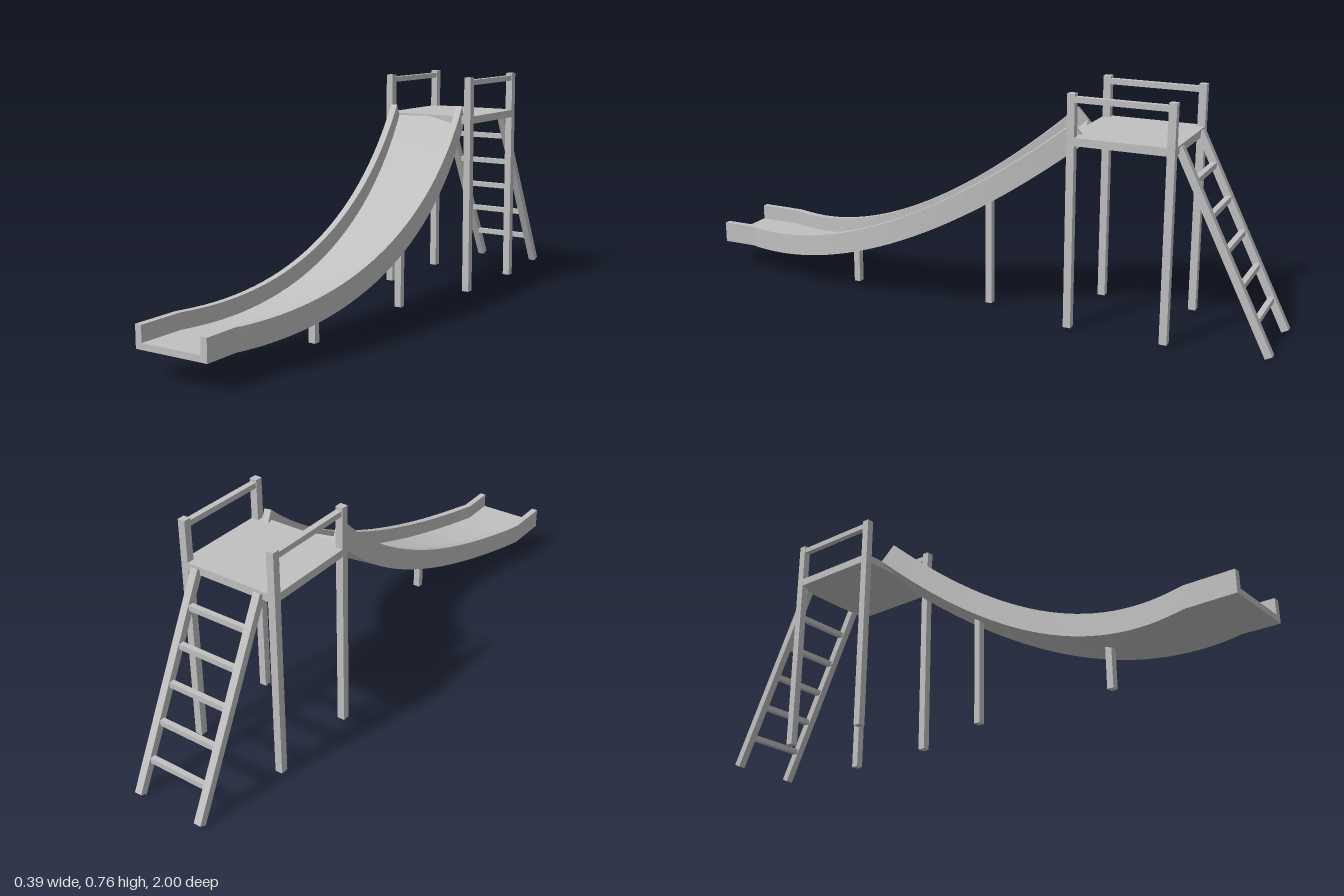
import * as THREE from 'three';

const MID_X = -0.0275; // centre line of platform, ladder and slide ends

// Slide centre line (underside): level run-out, then a rising, sideways bowed curve
function slidePoint(z) {
  const u = (z - 0.253) / 0.607;
  const x = z > 0.86 ? MID_X : MID_X + 0.095 * (1 - u * u);
  const rise = Math.max(0, 0.85 - z);
  return new THREE.Vector3(x, 0.088 + 0.36 * rise * rise, z);
}

// Sweeps a U-shaped trough along the centre line, with hard edges between its faces
function slideGeometry() {
  const w = 0.128, t = 0.022, h = 0.071, f = 0.02;
  const profile = [[-w, 0], [w, 0], [w, h], [w - t, h], [w - t, f], [t - w, f], [t - w, h], [-w, h]]
    .map(([x, y]) => new THREE.Vector2(x, y));
  const zs = [1];
  const steps = 30;
  for (let i = 0; i <= steps; i++) zs.push(0.86 - (1.214 * i) / steps);

  const up = new THREE.Vector3(0, 1, 0);
  const centres = zs.map(slidePoint);
  const rings = centres.map((c, i) => {
    const a = centres[Math.max(0, i - 1)], b = centres[Math.min(centres.length - 1, i + 1)];
    const along = i === 1
      ? c.clone().sub(a).normalize().add(b.clone().sub(c).normalize()).normalize()
      : b.clone().sub(a).normalize();
    const side = along.clone().cross(up).normalize();
    const normal = side.clone().cross(along);
    return profile.map(p => c.clone().addScaledVector(side, p.x).addScaledVector(normal, p.y));
  });

  const pos = [], index = [];
  const add = v => pos.push(v.x, v.y, v.z) / 3 - 1;
  // one strip per profile edge
  profile.forEach((_, k) => {
    const k2 = (k + 1) % profile.length;
    const ids = rings.map(r => [add(r[k]), add(r[k2])]);
    for (let i = 0; i < ids.length - 1; i++) {
      const [a0, b0] = ids[i], [a1, b1] = ids[i + 1];
      index.push(a0, a1, b1, a0, b1, b0);
    }
  });
  // end caps
  const faces = THREE.ShapeUtils.triangulateShape(profile, []);
  const first = rings[0].map(add), last = rings[rings.length - 1].map(add);
  for (const [a, b, c] of faces) {
    index.push(first[a], first[b], first[c], last[a], last[c], last[b]);
  }
  const g = new THREE.BufferGeometry();
  g.setAttribute('position', new THREE.Float32BufferAttribute(pos, 3));
  g.setIndex(index);
  g.computeVertexNormals();
  return g;
}

export function createModel() {
  const grey = new THREE.MeshStandardMaterial({ color: 0xc0c0c0 });
  grey.name = 'light grey';
  const model = new THREE.Group();
  model.name = 'playgroundSlide';

  const box = (name, sx, sy, sz, x, y, z) => {
    const m = new THREE.Mesh(new THREE.BoxGeometry(sx, sy, sz), grey);
    m.name = name;
    m.position.set(x, y, z);
    model.add(m);
    return m;
  };

  // Platform with four tall posts and two handrails
  const back = -0.672, front = -0.355, deckZ = (back + front) / 2;
  box('platform', 0.342, 0.026, 0.342, MID_X, 0.617, deckZ);
  for (const s of [-1, 1]) {
    const x = MID_X + s * 0.159;
    for (const z of [back, front]) box('post', 0.025, 0.757, 0.025, x, 0.3865, z);
    box('handrail', 0.02, 0.018, front - back, x, 0.747, deckZ);
  }

  // Ladder: two leaning rails and five rungs
  const top = new THREE.Vector3(0, 0.622, -0.682), foot = new THREE.Vector3(0, 0.006, -0.988);
  const run = top.clone().sub(foot);
  const lean = Math.atan2(run.z, run.y);
  const mid = top.clone().add(foot).multiplyScalar(0.5);
  for (const s of [-1, 1]) {
    box('ladderRail', 0.025, run.length(), 0.025, MID_X + s * 0.1145, mid.y, mid.z).rotation.x = lean;
  }
  for (let i = 0; i < 5; i++) {
    const y = 0.106 + i * 0.104;
    const z = foot.z + (run.z * (y - foot.y)) / run.y;
    box('rung', 0.21, 0.018, 0.018, MID_X, y, z);
  }

  // Slide trough
  const slide = new THREE.Mesh(slideGeometry(), grey);
  slide.name = 'slide';
  model.add(slide);

  // Legs under the slide
  for (const z of [0.465, -0.04]) {
    const p = slidePoint(z), y = p.y + 0.008;
    box('slideLeg', 0.024, y - 0.008, 0.022, p.x, (y + 0.008) / 2, z);
  }
  return model;
}
